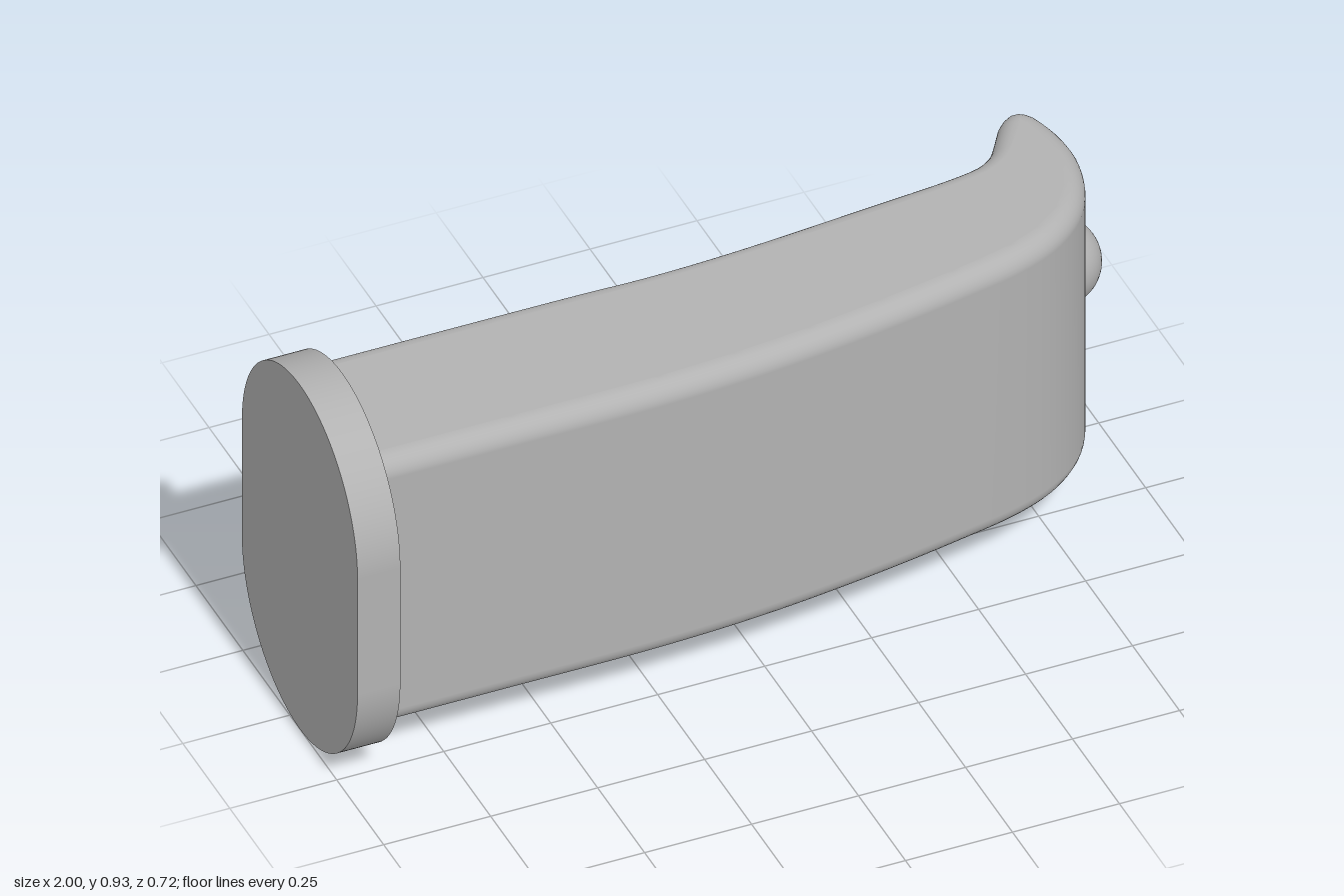
import * as THREE from 'three';
import { mergeVertices } from 'three/addons/utils/BufferGeometryUtils.js';

const grey = new THREE.MeshStandardMaterial({ color: 0xb2b2b2 });
grey.name = 'satin grey';

function part(name, geometry) {
  const mesh = new THREE.Mesh(geometry, grey);
  mesh.name = name;
  return mesh;
}

// Wall plate: upright stadium, flat faces towards -x and +x
function plateGeometry() {
  const r = 0.308, low = 0.308, high = 0.617;
  const shape = new THREE.Shape();
  shape.absarc(0, high, r, 0, Math.PI, false);
  shape.absarc(0, low, r, Math.PI, Math.PI * 2, false);
  shape.closePath();
  const geo = new THREE.ExtrudeGeometry(shape, { depth: 0.1, bevelEnabled: false, curveSegments: 40 });
  geo.rotateY(Math.PI / 2);
  geo.translate(-1, 0, 0.053);
  // smooth normals round the rim, flat faces kept
  const pos = geo.attributes.position, nor = geo.attributes.normal;
  for (let i = 0; i < pos.count; i++) {
    if (Math.abs(nor.getX(i)) > 0.5) continue;
    const y = pos.getY(i), z = pos.getZ(i) - 0.053;
    const n = new THREE.Vector2(y - Math.min(Math.max(y, low), high), z).normalize();
    nor.setXYZ(i, 0, n.x, n.y);
  }
  return geo;
}

// Arm: plan outline (x, z) swept upwards, with all edges rounded
function armGeometry() {
  const outline = [
    [-0.97, 0.255], [-0.88, 0.255], [-0.6, 0.255], [-0.25, 0.254], [0, 0.24], [0.25, 0.209], [0.5, 0.165],
    [0.66, 0.128], [0.76, 0.083], [0.84, 0.014], [0.89, -0.07], [0.914, -0.16], [0.914, -0.23],
    [0.9, -0.3], [0.88, -0.345], [0.845, -0.363], [0.81, -0.345], [0.775, -0.295], [0.74, -0.247],
    [0.7, -0.221], [0.65, -0.209], [0.4, -0.184], [0.1, -0.158], [-0.1, -0.15], [-0.27, -0.153],
    [-0.6, -0.154], [-0.88, -0.154], [-0.97, -0.154],
  ];
  const curve = new THREE.CatmullRomCurve3(outline.map(([x, z]) => new THREE.Vector3(x, -z, 0)), false, 'centripetal');
  const shape = new THREE.Shape(curve.getSpacedPoints(180).map((p) => new THREE.Vector2(p.x, p.y)));
  const b = 0.046;
  const geo = new THREE.ExtrudeGeometry(shape, {
    depth: 0.716 - 2 * b, bevelThickness: b, bevelSize: b, bevelOffset: -b, bevelSegments: 8,
  });
  geo.rotateX(-Math.PI / 2);
  geo.translate(0, 0.105 + b, 0);
  geo.deleteAttribute('normal');
  geo.deleteAttribute('uv');
  const smooth = mergeVertices(geo, 1e-5);
  smooth.computeVertexNormals();
  return smooth;
}

export function createModel() {
  const model = new THREE.Group();
  model.name = 'wall handle';

  const knob = part('knob', new THREE.SphereGeometry(0.1, 48, 32));
  knob.position.set(0.9, 0.464, -0.253);

  model.add(part('wallPlate', plateGeometry()), part('arm', armGeometry()), knob);
  return model;
}
